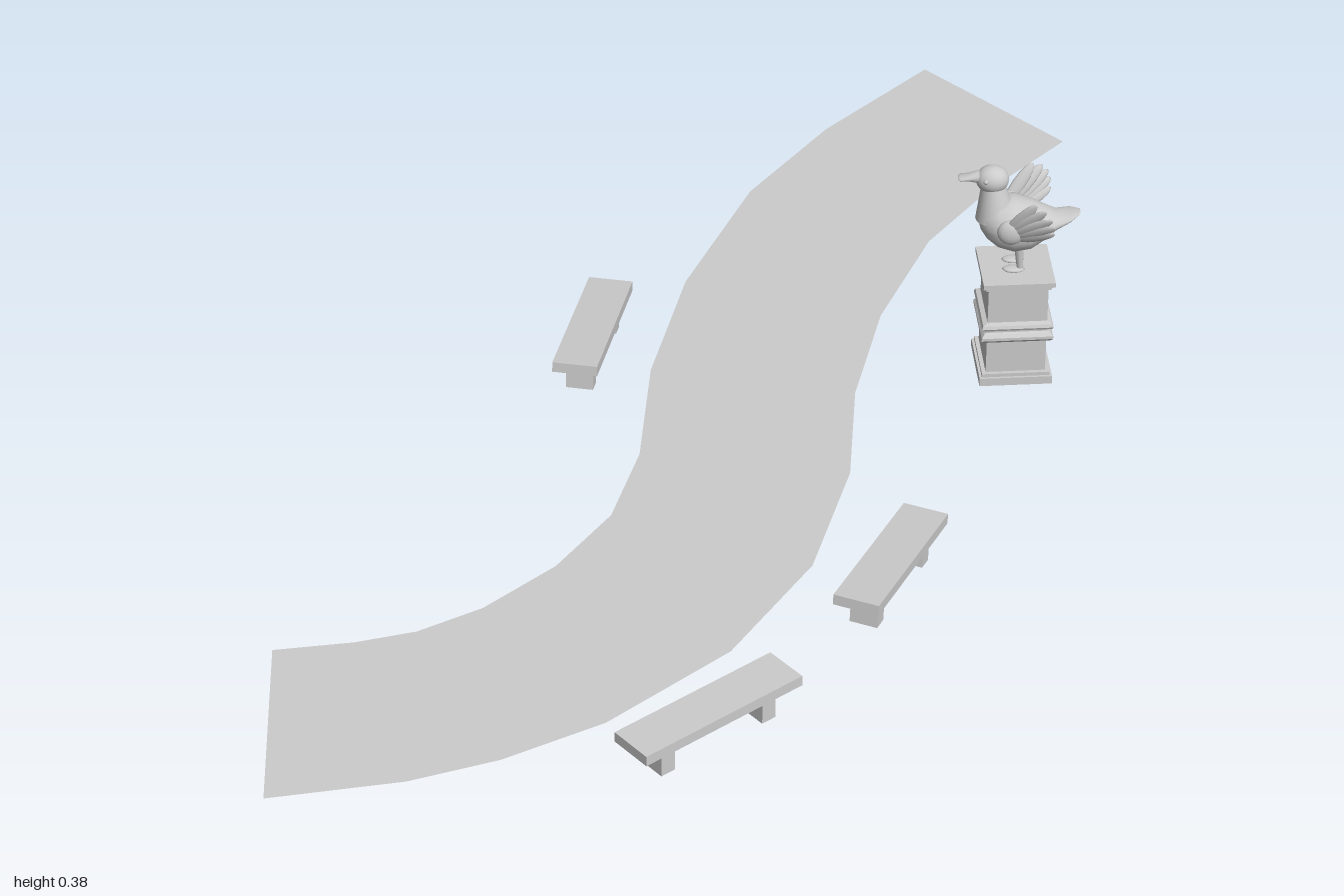
import * as THREE from 'three';

const mat = new THREE.MeshStandardMaterial({ color: 0xcccccc });
const thin = new THREE.MeshStandardMaterial({ color: 0xcccccc, side: THREE.DoubleSide });

function add(parent, name, geo, x = 0, y = 0, z = 0, material = mat) {
  const m = new THREE.Mesh(geo, material);
  m.name = name;
  m.position.set(x, y, z);
  parent.add(m);
  return m;
}

function surface(pos, idx) {
  const g = new THREE.BufferGeometry();
  g.setAttribute('position', new THREE.Float32BufferAttribute(pos, 3));
  g.setIndex(idx);
  g.computeVertexNormals();
  return g;
}

// Skin elliptical rings [x, y, halfHeight, halfWidth] along increasing x
function loft(rings, n = 20) {
  const pos = [], idx = [];
  rings.forEach(([x, y, h, w], i) => {
    for (let j = 0; j < n; j++) {
      const t = (j / n) * Math.PI * 2;
      pos.push(x, y + h * Math.cos(t), w * Math.sin(t));
      if (i === rings.length - 1) continue;
      const a = i * n + j, b = i * n + (j + 1) % n;
      idx.push(a, b, a + n, b, b + n, a + n);
    }
  });
  return surface(pos, idx);
}

// Place a y-aligned mesh between two points
function span(m, from, to) {
  const a = new THREE.Vector3(...from), b = new THREE.Vector3(...to);
  m.position.copy(a).add(b).multiplyScalar(0.5);
  m.quaternion.setFromUnitVectors(new THREE.Vector3(0, 1, 0), b.sub(a).normalize());
  return m;
}

// Flat winding path as a ribbon between two edges
function makePath() {
  const left = [[0.385, -1], [0.21, -0.8], [0.08, -0.6], [-0.025, -0.325], [-0.077, -0.07], [-0.09, 0.16],
    [-0.13, 0.32], [-0.21, 0.45], [-0.315, 0.555], [-0.41, 0.613], [-0.5, 0.64], [-0.62, 0.66]];
  const right = [[0.615, -0.765], [0.483, -0.61], [0.377, -0.45], [0.293, -0.23], [0.248, -0.01], [0.237, 0.206],
    [0.177, 0.444], [0.055, 0.655], [-0.124, 0.824], [-0.272, 0.91], [-0.404, 0.96], [-0.604, 1]];
  const pos = [], idx = [];
  left.forEach((p, i) => {
    pos.push(p[0], 0, p[1], right[i][0], 0, right[i][1]);
    const a = i * 2;
    if (i < left.length - 1) idx.push(a, a + 2, a + 1, a + 1, a + 2, a + 3);
  });
  return surface(pos, idx);
}

// Plank bench on two block legs
function makeBench(x, z, turn, tilt) {
  const g = new THREE.Group();
  g.name = 'bench';
  add(g, 'benchSeat', new THREE.BoxGeometry(0.29, 0.017, 0.072), 0, 0.026, 0);
  for (const s of [-1, 1]) add(g, 'benchLeg', new THREE.BoxGeometry(0.025, 0.048, 0.044), s * 0.094, -0.006, 0);
  g.position.set(x, 0.041, z);
  g.rotation.set(0, turn, tilt);
  return g;
}

// Square plinth with stepped and rounded mouldings
function makePedestal() {
  const g = new THREE.Group();
  g.name = 'pedestal';
  const block = (name, w, y0, y1) => add(g, name, new THREE.BoxGeometry(w, y1 - y0, w), 0, (y0 + y1) / 2, 0);
  block('baseSlab', 0.116, 0.01, 0.024);
  block('baseStep', 0.108, 0.024, 0.03);
  block('lowerBlock', 0.095, 0.03, 0.092);
  block('upperBlock', 0.095, 0.092, 0.19);
  block('capStep', 0.104, 0.186, 0.193);
  block('capSlab', 0.114, 0.193, 0.201);
  // Four-sided lathe gives mitred rounded bands
  const half = Math.SQRT2;
  const profile = [[0.046, 0.088], [0.053, 0.09], [0.057, 0.095], [0.057, 0.1], [0.053, 0.105], [0.05, 0.107],
    [0.05, 0.111], [0.055, 0.113], [0.057, 0.117], [0.055, 0.122], [0.046, 0.125]]
    .map(([r, y]) => new THREE.Vector2(r * half, y));
  const band = new THREE.LatheGeometry(profile, 4, Math.PI / 4).toNonIndexed();
  band.computeVertexNormals();
  add(g, 'middleMoulding', band);
  g.rotation.y = 0.08;
  return g;
}

// Duck with raised wings, facing -x
function makeDuck() {
  const g = new THREE.Group();
  g.name = 'duck';
  add(g, 'body', loft([[-0.062, 0.289, 0.001, 0.001], [-0.058, 0.289, 0.017, 0.018], [-0.048, 0.288, 0.031, 0.032],
    [-0.03, 0.285, 0.042, 0.044], [-0.005, 0.282, 0.046, 0.049], [0.022, 0.28, 0.039, 0.043],
    [0.045, 0.283, 0.025, 0.033], [0.06, 0.288, 0.013, 0.026], [0.082, 0.297, 0.006, 0.022],
    [0.098, 0.303, 0.001, 0.008]]));
  span(add(g, 'neck', new THREE.CylinderGeometry(0.018, 0.033, 0.06, 20)), [-0.034, 0.295, 0], [-0.041, 0.353, 0]);
  add(g, 'head', new THREE.SphereGeometry(0.024, 20, 14), -0.042, 0.362, 0).scale.set(1.1, 0.95, 0.95);
  add(g, 'beak', loft([[-0.096, 0.364, 0.001, 0.006], [-0.092, 0.364, 0.004, 0.011], [-0.08, 0.365, 0.005, 0.01],
    [-0.066, 0.366, 0.01, 0.011], [-0.055, 0.364, 0.013, 0.014]], 14));
  // Side parts, mirrored
  const tips = [[0.025, 0.353, 0.062], [0.04, 0.346, 0.07], [0.05, 0.333, 0.075], [0.055, 0.319, 0.074],
    [0.055, 0.304, 0.068]];
  for (const s of [-1, 1]) {
    tips.forEach(([x, y, z], i) => {
      const root = [-0.02 + i * 0.003, 0.287 - i * 0.003, s * 0.04], tip = [x, y, s * z];
      const len = Math.hypot(x - root[0], y - root[1], z - 0.04);
      const feather = span(add(g, 'wingFeather', new THREE.SphereGeometry(1, 12, 8)), root, tip);
      feather.scale.set(0.011, len / 2, 0.005);
    });
    const shoulder = add(g, 'wingShoulder', new THREE.SphereGeometry(1, 14, 10), -0.012, 0.29, s * 0.043);
    shoulder.scale.set(0.022, 0.022, 0.011);
    add(g, 'eye', new THREE.SphereGeometry(0.004, 8, 6), -0.053, 0.368, s * 0.02);
    span(add(g, 'leg', new THREE.CylinderGeometry(0.008, 0.005, 0.044, 10)), [0.003, 0.248, s * 0.013], [0.006, 0.204, s * 0.013])
      .rotateX(Math.PI);
    const foot = add(g, 'foot', new THREE.SphereGeometry(1, 12, 6), -0.004, 0.203, s * 0.014);
    foot.scale.set(0.018, 0.004, 0.011);
  }
  return g;
}

export function createModel() {
  const model = new THREE.Group();
  model.name = 'parkPathWithStatue';
  add(model, 'path', makePath(), 0, 0.025, 0, thin);
  model.add(
    makeBench(0.025, 0.842, 0.7, 0),
    makeBench(0.293, 0.483, -1.964, 0.095),
    makeBench(-0.171, -0.13, -1.742, 0.095),
  );
  const statue = new THREE.Group();
  statue.name = 'duckStatue';
  statue.add(makePedestal(), makeDuck());
  statue.position.set(0.5, 0, -0.115);
  model.add(statue);
  return model;
}
